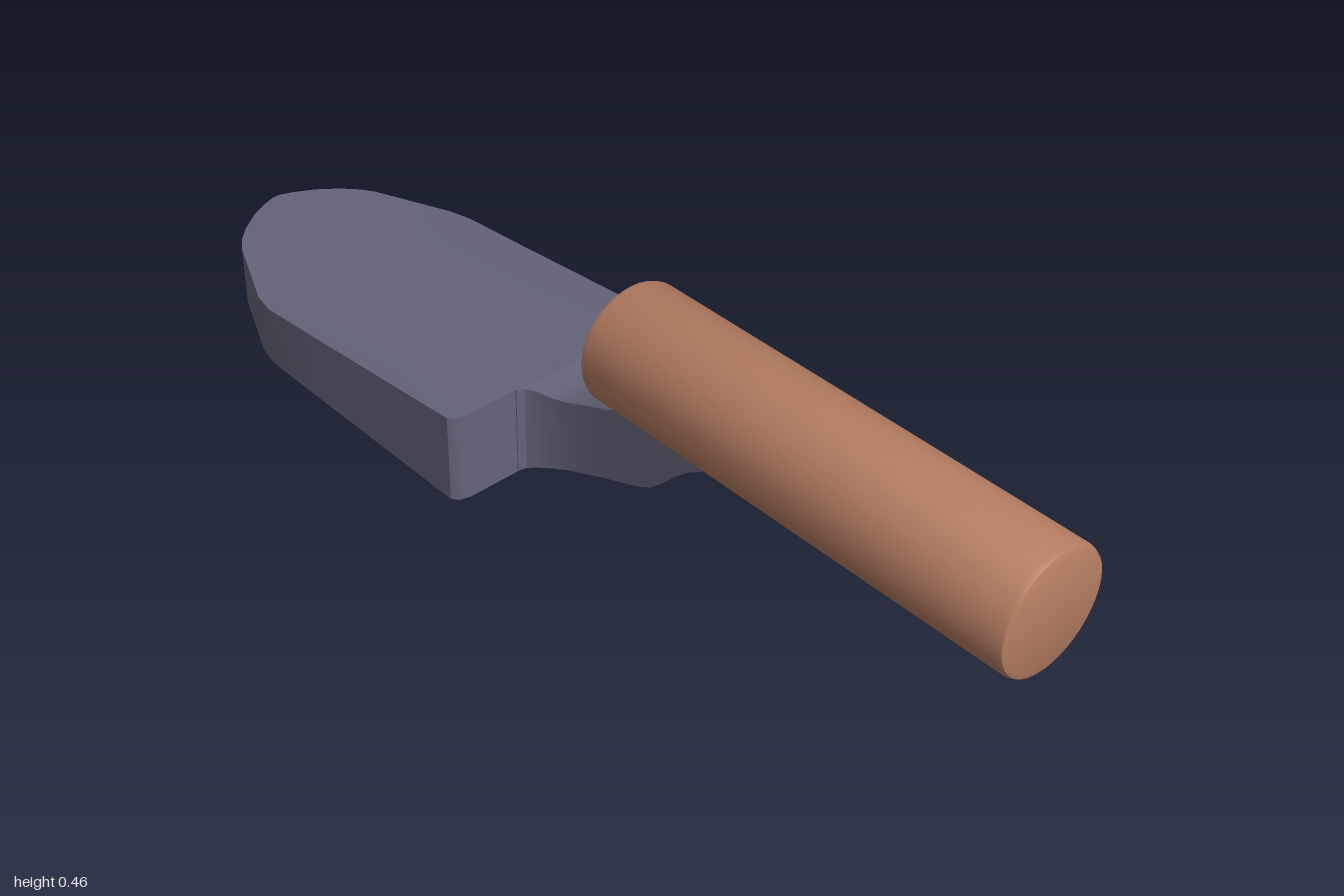
import * as THREE from 'three';
import { toCreasedNormals } from 'three/addons/utils/BufferGeometryUtils.js';

const TOP_STEPS = 12;

// Lofts cross-sections along x; each station is [x, halfWidth, bottomY, topY, crownDrop]
function loft(stations) {
  const rings = stations.map(([x, w, bottom, top, drop = 0]) => {
    const ring = [[x, bottom, w], [x, bottom, -w]];
    for (let i = 0; i <= TOP_STEPS; i++) {
      const t = (i / TOP_STEPS) * 2 - 1;
      ring.push([x, top - drop * t * t, w * t]);
    }
    return ring;
  });
  const n = rings[0].length;
  const pos = [];
  const tri = (...points) => points.forEach((p) => pos.push(...p));
  for (let i = 0; i < rings.length - 1; i++) {
    for (let j = 0; j < n; j++) {
      const k = (j + 1) % n;
      const a = rings[i][j], b = rings[i][k], c = rings[i + 1][k], d = rings[i + 1][j];
      tri(a, b, c);
      tri(a, c, d);
    }
  }
  const first = rings[0], last = rings[rings.length - 1];
  for (let j = 1; j < n - 1; j++) {
    tri(first[0], first[j + 1], first[j]);
    tri(last[0], last[j], last[j + 1]);
  }
  const geometry = new THREE.BufferGeometry();
  geometry.setAttribute('position', new THREE.Float32BufferAttribute(pos, 3));
  return toCreasedNormals(geometry, 0.6);
}

export function createModel() {
  const group = new THREE.Group();
  const metal = new THREE.MeshStandardMaterial({ color: 0x66657a });
  const wood = new THREE.MeshStandardMaterial({ color: 0xb67d62 });
  const add = (name, geometry, material) => {
    const mesh = new THREE.Mesh(geometry, material);
    mesh.name = name;
    group.add(mesh);
    return mesh;
  };

  // Blade: pointed outline, flat underside, gently crowned top rising to the neck
  const outline = [
    [-1, 0.008], [-0.99, 0.035], [-0.97, 0.075], [-0.94, 0.115], [-0.91, 0.145],
    [-0.88, 0.165], [-0.8, 0.2], [-0.72, 0.235], [-0.67, 0.245], [-0.5, 0.245],
    [-0.3, 0.245], [-0.12, 0.245], [-0.108, 0.235], [-0.102, 0.215],
  ];
  add('blade', loft(outline.map(([x, w]) => {
    const t = (x + 1) / 0.9;
    const drop = 0.022 * Math.min(1, t / 0.33) * Math.min(1, (1 - t) / 0.67 + 0.1);
    return [x, w, 0, 0.128 + 0.057 * t, drop];
  })), metal);

  // Neck: flares out of the blade and sweeps up under the handle
  add('neck', loft([
    [-0.13, 0.105, 0.003, 0.182], [-0.1, 0.105, 0.003, 0.184], [-0.094, 0.091, 0.005, 0.184],
    [-0.075, 0.08, 0.012, 0.183], [-0.045, 0.071, 0.023, 0.181], [-0.01, 0.064, 0.036, 0.187],
    [0.04, 0.061, 0.055, 0.207], [0.09, 0.06, 0.075, 0.225], [0.13, 0.06, 0.09, 0.25],
    [0.17, 0.06, 0.106, 0.252], [0.2, 0.06, 0.122, 0.252], [0.23, 0.06, 0.148, 0.252],
    [0.26, 0.06, 0.18, 0.252], [0.29, 0.06, 0.208, 0.252], [0.33, 0.06, 0.235, 0.252],
  ]), metal);

  // Handle: round bar with softened ends, laid along x
  const r = 0.115, length = 0.92, bevel = 0.012;
  const profile = [
    [0, 0], [r - bevel, 0], [r - bevel * 0.3, bevel * 0.3], [r, bevel],
    [r, length - bevel], [r - bevel * 0.3, length - bevel * 0.3], [r - bevel, length], [0, length],
  ].map(([x, y]) => new THREE.Vector2(x, y));
  const handle = add('handle', toCreasedNormals(new THREE.LatheGeometry(profile, 40), 0.5), wood);
  handle.rotation.z = -Math.PI / 2;
  handle.position.set(0.08, 0.34, 0);

  return group;
}
